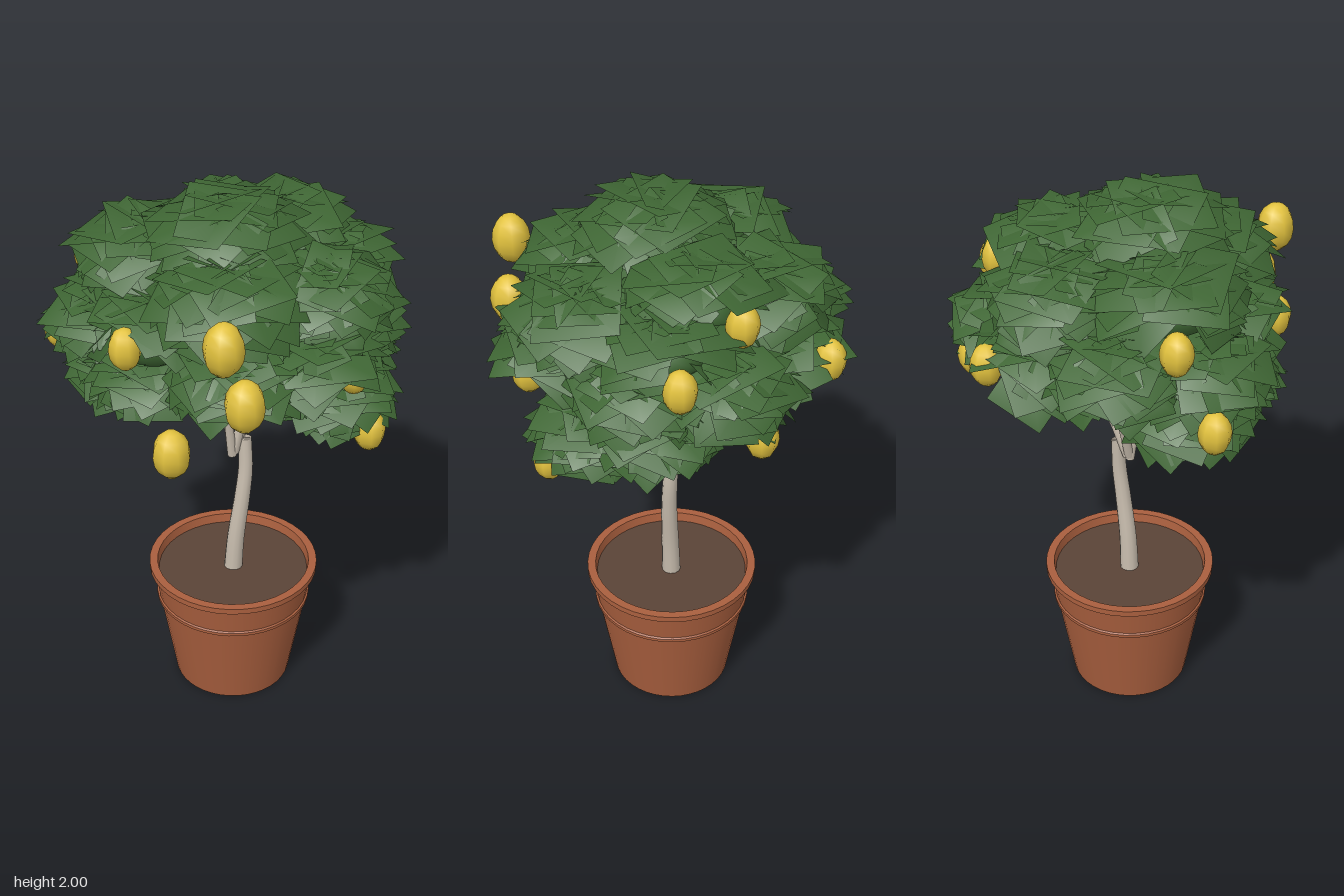
import * as THREE from 'three';

const mat = (name, color, side = THREE.FrontSide) => {
  const m = new THREE.MeshStandardMaterial({ color, side });
  m.name = name;
  return m;
};

// Small seeded random generator
function seeded(seed) {
  return () => {
    seed = (seed * 1664525 + 1013904223) % 4294967296;
    return seed / 4294967296;
  };
}

const V = (p) => new THREE.Vector3(...p);

// Fruit: x, y, z and how far above it the leaves stay open
const fruits = [
  [0.14, 1.715, 0.57, 0.1], [0.2, 1.515, 0.545, 0.1], [-0.08, 1.195, 0.37, 0.1], [-0.22, 1.58, 0.385, 0.35],
  [-0.57, 1.42, 0, 0.06], [-0.475, 1.67, -0.09, 0.35], [0.54, 1.215, 0.11, 0.03], [0.49, 1.49, 0.22, 0.06],
  [0.01, 1.385, 0.25, 0.02], [0.47, 1.62, -0.36, 0.35], [0.225, 1.75, -0.42, 0.35], [-0.07, 1.53, -0.57, 0.35],
  [0.25, 1.39, -0.52, 0.06], [-0.2, 1.42, -0.12, 0.02],
];

// True where a leaf card would bury a fruit
const coversFruit = (p) => fruits.some(([x, y, z, open]) =>
  Math.hypot(p.x - x * 1.06, p.z - z * 1.06) < 0.15 && p.y > y - 0.09 && p.y < y + open);

// Tube along a curve whose radius shrinks from r0 to r1, closed at its tip
function taperedTube(points, r0, r1, segments = 20, sides = 10) {
  const curve = new THREE.CatmullRomCurve3(points.map(V));
  const geo = new THREE.TubeGeometry(curve, segments, 1, sides);
  const pos = geo.attributes.position;
  const p = new THREE.Vector3();
  for (let i = 0; i <= segments; i++) {
    // the last two rings share one place so that the end is flat
    const center = curve.getPointAt(i / segments);
    const shift = new THREE.Vector3();
    if (i === segments - 1) shift.subVectors(curve.getPointAt(1), center);
    const r = i === segments ? 0 : r0 + (r1 - r0) * (i / (segments - 1));
    for (let j = 0; j <= sides; j++) {
      const k = i * (sides + 1) + j;
      p.fromBufferAttribute(pos, k).sub(center).multiplyScalar(r).add(center).add(shift);
      pos.setXYZ(k, p.x, p.y, p.z);
    }
  }
  return geo;
}

// Dome of overlapping square leaf cards around a flattened ball
function leafCards(center, rx, ry, count, rnd) {
  const positions = [], normals = [], index = [];
  const c = V(center);
  for (let i = 0; i < count; i++) {
    const dy = 0.98 - 1.4 * (i / (count - 1));
    const ring = Math.sqrt(1 - dy * dy);
    const a = i * 2.39996 + rnd() * 0.5;
    const dir = new THREE.Vector3(Math.cos(a) * ring, dy, Math.sin(a) * ring);
    const spot = new THREE.Vector3(dir.x * rx, dir.y * ry, dir.z * rx).add(c);
    const n = new THREE.Vector3(dir.x + (rnd() - 0.5) * 0.4, Math.max(dir.y, -0.1) + 1.0, dir.z + (rnd() - 0.5) * 0.4).normalize();
    const spin = rnd() * Math.PI;
    const half = 0.077 + rnd() * 0.025 + 0.055 * Math.max(dy, 0);
    if (coversFruit(spot)) continue;
    const u = new THREE.Vector3(Math.cos(spin), 0, Math.sin(spin)).cross(n).normalize();
    const v = new THREE.Vector3().crossVectors(n, u);
    const base = positions.length / 3;
    for (const [su, sv] of [[-1, -1], [1, -1], [1, 1], [-1, 1]]) {
      const q = spot.clone().addScaledVector(u, su * half).addScaledVector(v, sv * half);
      const soft = q.clone().sub(c).normalize().multiplyScalar(0.6).add(n).normalize();
      positions.push(q.x, q.y, q.z);
      normals.push(soft.x, soft.y, soft.z);
    }
    index.push(base, base + 1, base + 2, base, base + 2, base + 3);
  }
  const geo = new THREE.BufferGeometry();
  geo.setAttribute('position', new THREE.Float32BufferAttribute(positions, 3));
  geo.setAttribute('normal', new THREE.Float32BufferAttribute(normals, 3));
  geo.setIndex(index);
  return geo;
}

export function createModel() {
  const model = new THREE.Group();
  model.name = 'pottedFruitTree';
  const terracotta = mat('terracotta', 0xa95f3e, THREE.DoubleSide);
  const earth = mat('soil', 0x5a4437);
  const bark = mat('bark', 0xc8bdae);
  const leaf = mat('leaf green', 0x3f6734, THREE.DoubleSide);
  const yellow = mat('fruit yellow', 0xe2c23e);
  const add = (name, geo, material, parent = model) => {
    const m = new THREE.Mesh(geo, material);
    m.name = name;
    parent.add(m);
    return m;
  };

  // Pot: each straight wall piece is its own lathe so that edges stay sharp
  const pot = new THREE.Group();
  pot.name = 'pot';
  pot.position.set(0.045, 0, -0.03);
  model.add(pot);
  const profile = [[0, 0], [0.22, 0], [0.28, 0.35], [0.289, 0.354], [0.289, 0.366], [0.283, 0.37],
    [0.298, 0.475], [0.315, 0.478], [0.315, 0.5], [0.285, 0.5], [0.275, 0.44]];
  for (let i = 0; i < profile.length - 1; i++) {
    const pts = [profile[i], profile[i + 1]].map(([x, y]) => new THREE.Vector2(x, y));
    add('potWall' + i, new THREE.LatheGeometry(pts, 40), terracotta, pot);
  }
  const soil = add('soil', new THREE.CircleGeometry(0.282, 40), earth, pot);
  soil.rotation.x = -Math.PI / 2;
  soil.position.y = 0.465;

  // Trunk and branches
  add('trunk', taperedTube([[0.045, 0.44, -0.03], [0.055, 0.6, -0.032], [0.076, 0.78, -0.042],
    [0.085, 0.9, -0.052], [0.08, 1.02, -0.058]], 0.035, 0.025, 28, 12), bark);
  const branches = [
    [[0.04, 0.96, -0.03], [0.025, 1.15, 0.0], [0.0, 1.3, 0.05], [-0.06, 1.5, 0.12]],
    [[0.045, 0.97, -0.035], [0.1, 1.15, -0.09], [0.2, 1.29, -0.17], [0.38, 1.45, -0.22]],
    [[0.04, 0.97, -0.03], [0.0, 1.15, -0.08], [-0.07, 1.33, -0.17], [-0.3, 1.48, -0.22]],
    [[0.045, 0.97, -0.035], [0.09, 1.18, -0.03], [0.12, 1.34, 0.03], [0.25, 1.52, 0.14]],
  ];
  branches.forEach((b, i) => add('branch' + i, taperedTube(b, 0.018, 0.011, 18, 8), bark));
  const twigs = [
    [[0.1, 1.15, -0.09], [0.1, 1.3, -0.18], [0.12, 1.48, -0.32]],
    [[0.13, 1.2, -0.11], [0.22, 1.27, -0.06], [0.36, 1.36, 0.0]],
    [[0.01, 1.25, 0.03], [-0.07, 1.33, 0.04], [-0.22, 1.42, 0.05]],
    [[0.02, 1.17, 0.0], [0.06, 1.32, 0.1], [0.1, 1.48, 0.22]],
    [[-0.03, 1.24, -0.12], [-0.05, 1.36, -0.24], [-0.1, 1.5, -0.36]],
  ];
  twigs.forEach((t, i) => add('twig' + i, taperedTube(t, 0.012, 0.007, 12, 6), bark));

  // Foliage: clusters given as x, y, z, radius, half height
  const clusters = [
    [0.03, 1.84, 0.04, 0.17, 0.12], [-0.25, 1.74, -0.02, 0.17, 0.11], [0.36, 1.69, 0.08, 0.15, 0.1],
    [0.17, 1.76, -0.22, 0.16, 0.12], [-0.05, 1.71, -0.32, 0.16, 0.11], [0.08, 1.71, 0.25, 0.17, 0.12],
    [0.33, 1.66, -0.21, 0.14, 0.1],
    [-0.35, 1.53, 0.06, 0.14, 0.1], [-0.17, 1.57, 0.22, 0.15, 0.11], [0.13, 1.49, 0.31, 0.14, 0.1],
    [0.35, 1.49, 0.2, 0.13, 0.1], [0.37, 1.51, -0.14, 0.14, 0.1], [0.23, 1.51, -0.36, 0.14, 0.1],
    [-0.06, 1.5, -0.39, 0.14, 0.1], [-0.29, 1.55, -0.21, 0.14, 0.1], [0.03, 1.6, 0, 0.2, 0.12],
    [-0.28, 1.35, 0.04, 0.15, 0.09], [0.405, 1.31, 0.02, 0.11, 0.09], [-0.18, 1.41, 0.2, 0.12, 0.08],
    [0.34, 1.37, -0.18, 0.13, 0.09],
  ];
  const foliage = new THREE.Group();
  foliage.name = 'foliage';
  model.add(foliage);
  const rnd = seeded(7);
  clusters.forEach(([x, y, z, rx, ry], i) => {
    const core = add('leafCore' + i, new THREE.SphereGeometry(1, 16, 10), leaf, foliage);
    core.position.set(x, y - 0.01, z);
    core.scale.set(rx * 0.95, ry * 0.95, rx * 0.95);
    add('leafCards' + i, leafCards([x, y, z], rx, ry, 42, rnd), leaf, foliage);
  });

  // Fruit, the first three being larger
  const fruitGeo = new THREE.SphereGeometry(1, 8, 8);
  fruits.forEach(([x, y, z], i) => {
    const f = add('fruit' + i, fruitGeo, yellow);
    const s = i < 3 ? 1.2 : 1;
    f.position.set(x, y, z);
    f.scale.set(0.055 * s, 0.074 * s, 0.055 * s);
    f.rotation.y = i * 0.7;
  });
  return model;
}
